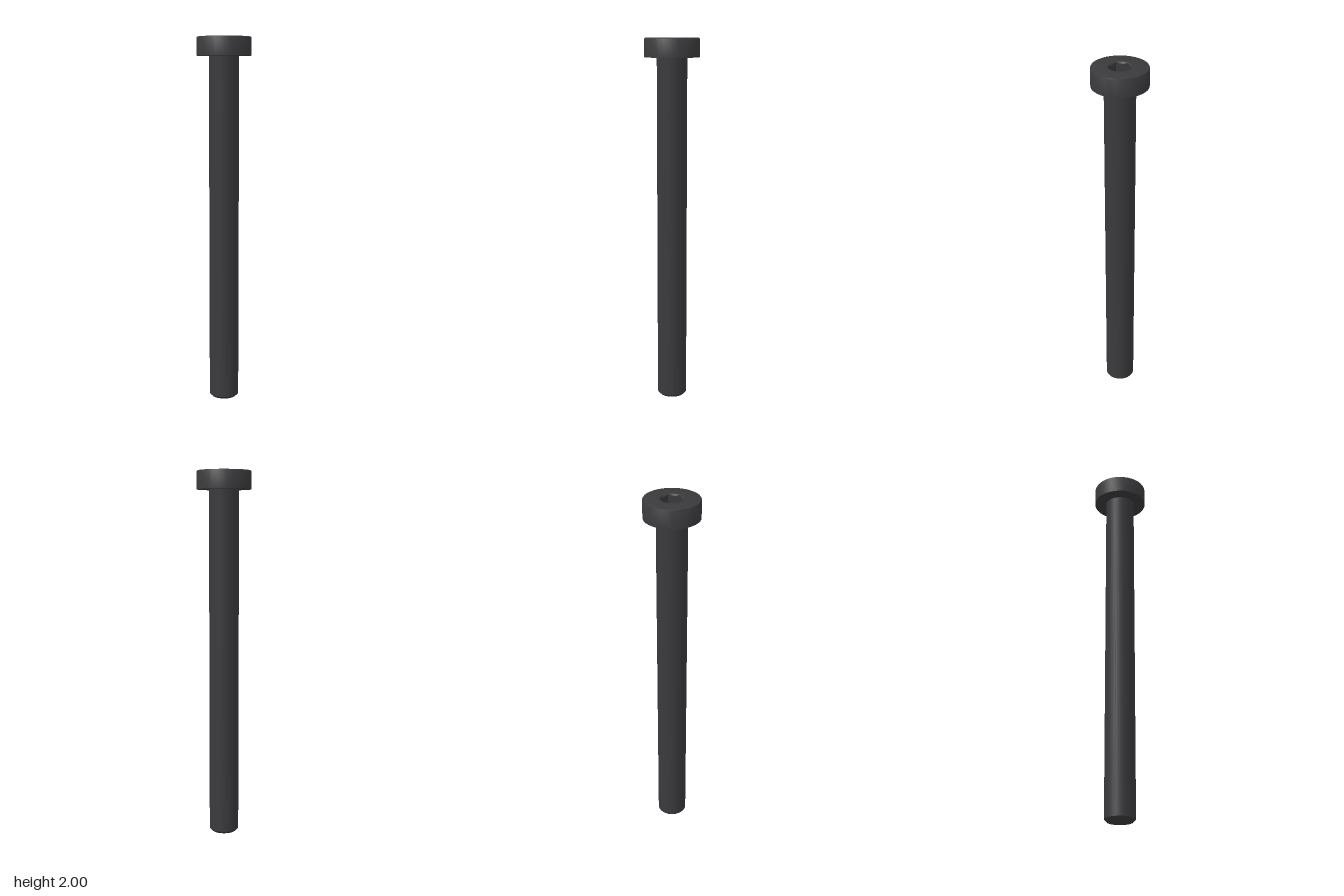
import * as THREE from 'three';
import { toCreasedNormals } from 'three/addons/utils/BufferGeometryUtils.js';

const SEGMENTS = 36; // multiple of 6, so the socket corners fall on vertices
const HEAD_TOP = 2;
const HEAD_BOTTOM = 1.9;
const HEAD_RADIUS = 0.147;
const SHANK_RADIUS = 0.081;
const SOCKET_RADIUS = 0.062; // centre to hexagon corner
const SOCKET_FLOOR = 1.94;

const lathe = (profile) =>
  new THREE.LatheGeometry(profile.map(([r, y]) => new THREE.Vector2(r, y)), SEGMENTS);

// Distance from the axis to the hexagon's wall, with corners on +x and -x
function hexRadius(angle) {
  const step = Math.PI / 3;
  const a = ((angle % step) + step) % step;
  return SOCKET_RADIUS * Math.cos(step / 2) / Math.cos(a - step / 2);
}

// Hexagonal recess: a turned pocket whose walls are pulled in to a hexagon,
// leaving a conical countersink between the round mouth and the flats
function socketGeometry() {
  const profile = [
    [SOCKET_RADIUS, HEAD_TOP],
    [SOCKET_RADIUS, HEAD_TOP - 0.001],
    [SOCKET_RADIUS, SOCKET_FLOOR],
    [0, SOCKET_FLOOR],
  ];
  const geometry = lathe(profile);
  const pos = geometry.attributes.position;
  for (let i = 0; i < pos.count; i++) {
    const row = i % profile.length;
    if (row !== 1 && row !== 2) continue;
    const angle = Math.atan2(pos.getZ(i), pos.getX(i));
    const r = hexRadius(angle);
    const y = row === 1 ? HEAD_TOP - (SOCKET_RADIUS - r) : SOCKET_FLOOR;
    pos.setXYZ(i, r * Math.cos(angle), y, r * Math.sin(angle));
  }
  return geometry;
}

export function createModel() {
  const model = new THREE.Group();
  model.name = 'socketHeadBolt';
  const material = new THREE.MeshStandardMaterial({ color: 0x3a3a3d });

  const add = (name, geometry) => {
    const mesh = new THREE.Mesh(toCreasedNormals(geometry, 0.5), material);
    mesh.name = name;
    model.add(mesh);
  };

  // Plain shank with a chamfered tip
  add('shank', lathe([
    [0, 0],
    [SHANK_RADIUS - 0.013, 0],
    [SHANK_RADIUS, 0.013],
    [SHANK_RADIUS, HEAD_BOTTOM],
  ]));

  // Low cylindrical head with a softened top rim, open at the socket
  add('head', lathe([
    [SHANK_RADIUS, HEAD_BOTTOM],
    [HEAD_RADIUS, HEAD_BOTTOM],
    [HEAD_RADIUS, HEAD_TOP - 0.006],
    [HEAD_RADIUS - 0.002, HEAD_TOP - 0.002],
    [HEAD_RADIUS - 0.006, HEAD_TOP],
    [SOCKET_RADIUS, HEAD_TOP],
  ]));

  add('hexSocket', socketGeometry());

  return model;
}
